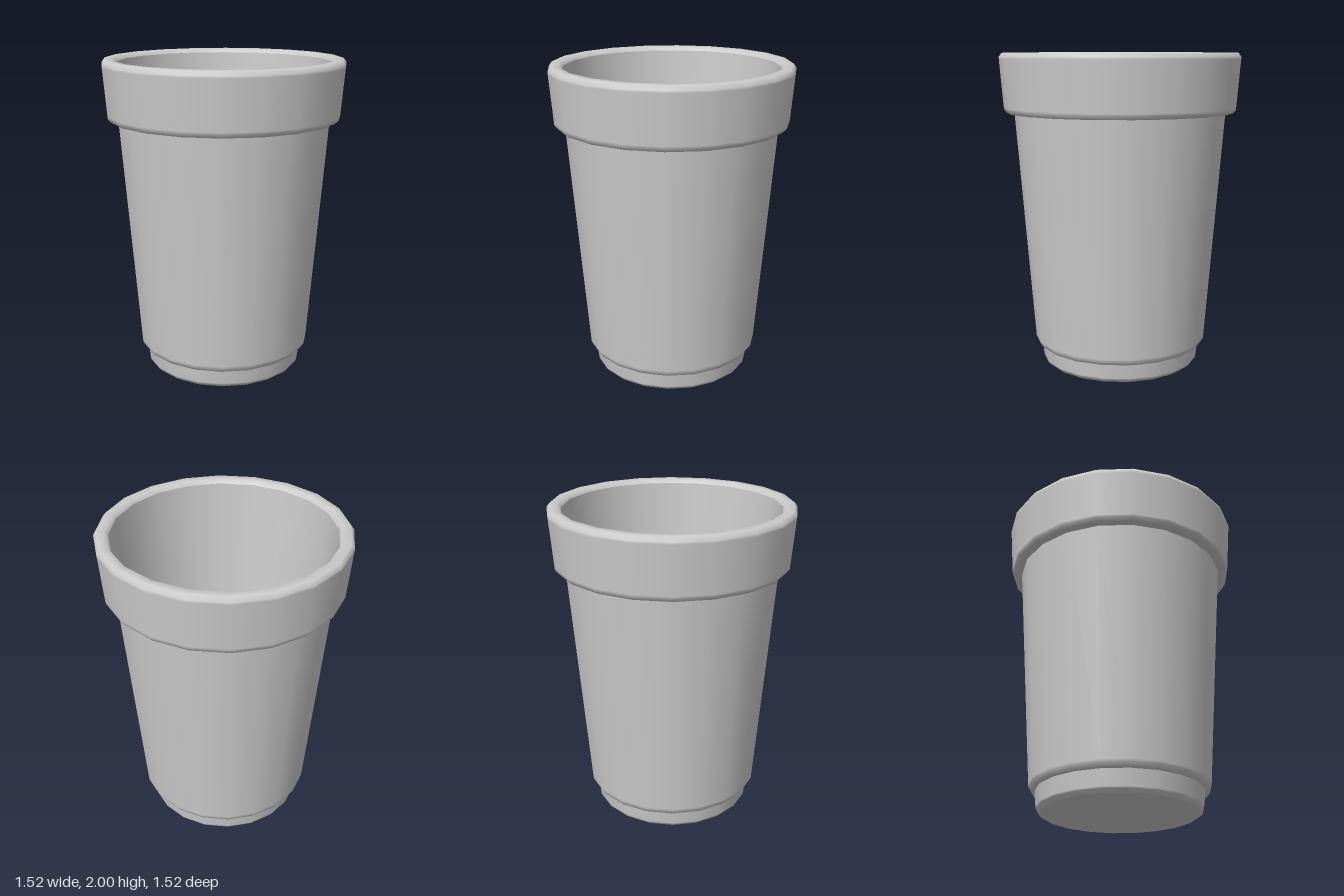
import * as THREE from 'three';

const SIDES = 20;
const material = new THREE.MeshStandardMaterial({ color: 0xcccccc });

// Revolve a [radius, height] profile around the y axis
function ring(name, profile) {
  const points = profile.map(([r, y]) => new THREE.Vector2(r, y));
  const mesh = new THREE.Mesh(new THREE.LatheGeometry(points, SIDES), material);
  mesh.name = name;
  return mesh;
}

// Flat disc facing up (dir = 1) or down (dir = -1)
function disc(name, radius, y, dir) {
  const geometry = new THREE.CircleGeometry(radius, SIDES).rotateX(-dir * Math.PI / 2);
  const mesh = new THREE.Mesh(geometry, material);
  mesh.position.y = y;
  mesh.name = name;
  return mesh;
}

export function createModel() {
  const cup = new THREE.Group();
  cup.name = 'cup';

  // Narrow foot with a bevelled lower edge
  cup.add(disc('footUnderside', 0.485, 0, -1));
  cup.add(ring('foot', [[0.485, 0], [0.507, 0.02], [0.509, 0.03], [0.52, 0.13]]));

  // Tapered body, starting with a small ledge over the foot
  cup.add(ring('body', [[0.52, 0.13], [0.542, 0.13], [0.558, 0.155], [0.559, 0.17], [0.67, 1.63]]));

  // Thick collar with bevelled edges and a rounded lip
  cup.add(ring('rim', [
    [0.67, 1.63], [0.718, 1.63], [0.735, 1.65], [0.736, 1.665],
    [0.759, 1.96], [0.76, 1.975], [0.742, 2], [0.692, 2], [0.673, 1.975],
  ]));

  // Hollow inside
  cup.add(ring('innerWall', [[0.673, 1.975], [0.672, 1.96], [0.52, 0.13]]));
  cup.add(disc('innerFloor', 0.52, 0.13, 1));

  return cup;
}
